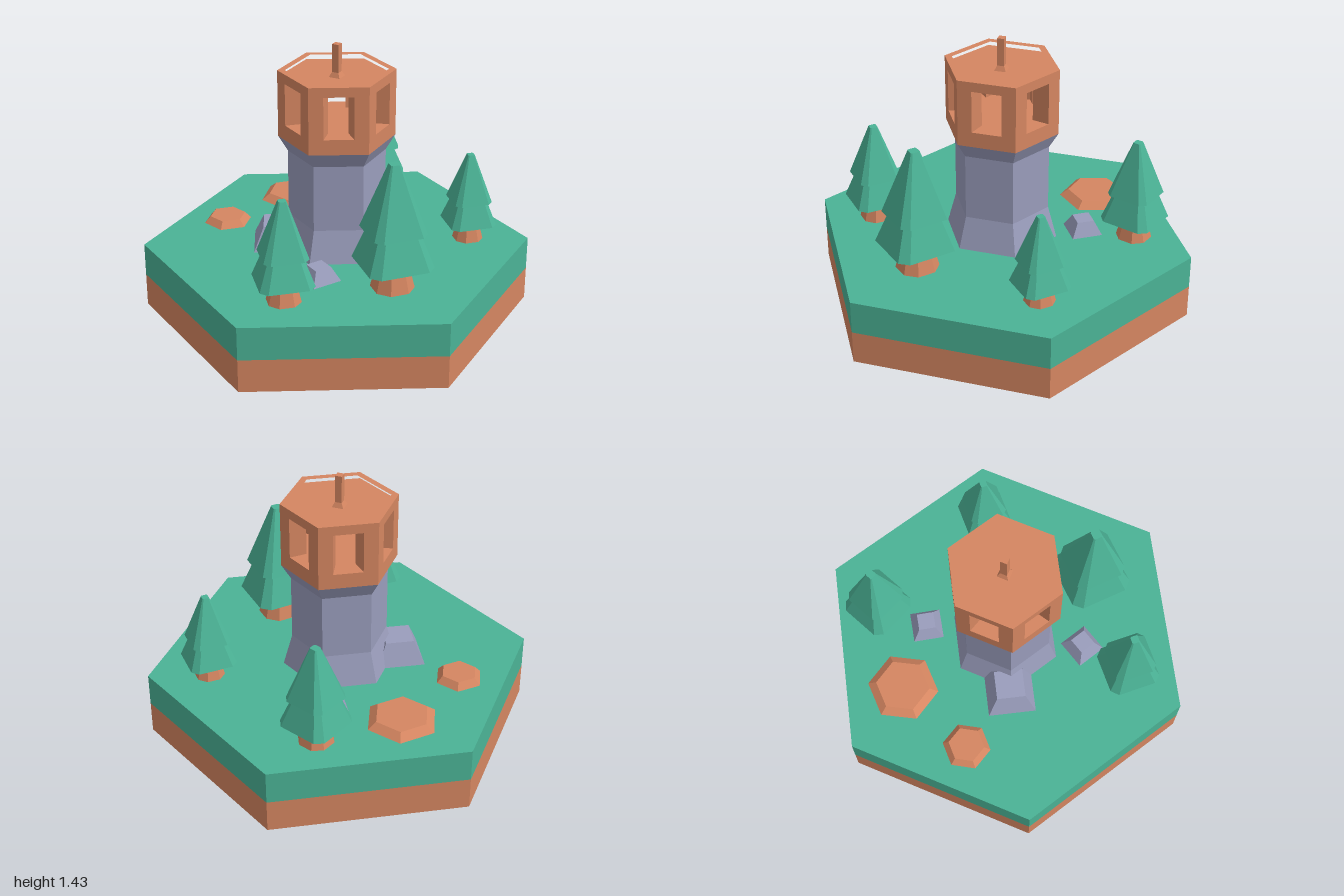
import * as THREE from 'three';

const mat = (name, color) => {
  const m = new THREE.MeshStandardMaterial({ color });
  m.name = name;
  return m;
};

export function createModel() {
  const model = new THREE.Group();
  model.name = 'watchtowerTile';
  const grass = mat('grassGreen', 0x4bb396);
  const clay = mat('clayBrown', 0xd58661);
  const stone = mat('stoneGrey', 0x9a9dbc);

  const flat = (g) => {
    const f = g.index ? g.toNonIndexed() : g;
    f.computeVertexNormals();
    return f;
  };
  const add = (name, geo, material, parent = model) => {
    const mesh = new THREE.Mesh(flat(geo), material);
    mesh.name = name;
    parent.add(mesh);
    return mesh;
  };
  // Faceted frustum standing between heights y0 and y1
  const frustum = (r0, r1, y0, y1, sides = 6) =>
    new THREE.CylinderGeometry(r1, r0, y1 - y0, sides).translate(0, (y0 + y1) / 2, 0);
  // Frustum with a square section whose corners are cut off by the angle w
  const cutSquare = (r0, r1, y0, y1, w) => {
    const g = frustum(r0, r1, y0, y1, 8);
    const p = g.attributes.position;
    for (let i = 0; i < p.count; i++) {
      const r = Math.hypot(p.getX(i), p.getZ(i));
      if (r < 1e-6) continue;
      const k = Math.round(Math.atan2(p.getX(i), p.getZ(i)) / (Math.PI / 4));
      const a = Math.floor(k / 2) * Math.PI / 2 + (k % 2 ? w : -w);
      p.setX(i, r * Math.sin(a));
      p.setZ(i, r * Math.cos(a));
    }
    return g;
  };
  const hexPoints = (r) => Array.from({ length: 6 }, (_, i) =>
    new THREE.Vector2(r * Math.sin(i * Math.PI / 3), r * Math.cos(i * Math.PI / 3)));
  const extrudeUp = (shape, y0, y1) =>
    new THREE.ExtrudeGeometry(shape, { depth: y1 - y0, bevelEnabled: false })
      .rotateX(-Math.PI / 2).translate(0, y0, 0);

  // Hexagonal ground tile
  const ground = 0.35;
  add('soilLayer', frustum(1, 1, 0, 0.175), clay);
  add('grassLayer', frustum(1, 1, 0.175, ground), grass);

  // Stone shaft with a flared foot and collar
  const R = 0.295;
  const tower = new THREE.Group();
  tower.name = 'tower';
  model.add(tower);
  add('towerFoot', frustum(R, 0.248, ground, 0.52), stone, tower);
  add('towerShaft', frustum(0.248, 0.248, 0.52, 0.87), stone, tower);
  add('towerCollar', frustum(0.248, R, 0.87, 0.95), stone, tower);

  // Lookout room: floor, six corner posts with radial sides, roof and rim
  add('lookoutFloor', frustum(R, R, 0.95, 1.03), clay, tower);
  const t = (R - 0.15) / 2;
  const side = new THREE.Vector2(t * Math.sin(Math.PI / 3), R - t / 2);
  const inner = 0.667;
  const postShape = new THREE.Shape([
    side, new THREE.Vector2(0, R), new THREE.Vector2(-side.x, side.y),
    new THREE.Vector2(-side.x * inner, side.y * inner),
    new THREE.Vector2(0, R * inner),
    new THREE.Vector2(side.x * inner, side.y * inner),
  ]);
  for (let i = 0; i < 6; i++) {
    add('lookoutPost', extrudeUp(postShape, 1.03, 1.25), clay, tower).rotation.y = i * Math.PI / 3;
  }
  add('lookoutRoof', frustum(R, R, 1.25, 1.265), clay, tower);
  const rim = new THREE.Shape(hexPoints(R));
  rim.holes.push(new THREE.Path(hexPoints(0.257)));
  add('roofRim', extrudeUp(rim, 1.265, 1.3), clay, tower);

  // Mast on the roof
  const square = (r0, r1, y0, y1) => frustum(r0, r1, y0, y1, 4).rotateY(Math.PI / 4);
  add('mastBase', square(0.042, 0.025, 1.265, 1.29), clay, tower);
  add('mast', square(0.025, 0.025, 1.29, 1.435), clay, tower);

  // Trees: x, z, height, turn
  for (const [x, z, h, turn] of [
    [0.065, 0.67, 0.53, -0.05],
    [0.465, 0.3, 0.655, 0.05],
    [0.58, -0.365, 0.472, -0.03],
    [-0.13, -0.675, 0.545, 0.45],
  ]) {
    const tree = new THREE.Group();
    tree.name = 'tree';
    add('trunk', cutSquare(0.168 * h, 0.115 * h, 0, 0.21 * h, 0.35), clay, tree);
    add('lowerFoliage', cutSquare(0.318 * h, 0.2 * h, 0.207 * h, 0.48 * h, 0.15), grass, tree);
    add('upperFoliage', cutSquare(0.26 * h, 0.045 * h, 0.47 * h, h, 0.15), grass, tree);
    tree.position.set(x, ground, z);
    tree.rotation.y = turn;
    model.add(tree);
  }

  // Square boulders and low hexagonal mounds: x, z, base and top radius, height, turn
  const heap = (name, sides, material, list) => {
    for (const [x, z, r0, r1, h, turn] of list) {
      const m = add(name, frustum(r0, r1, 0, h, sides), material);
      m.position.set(x, ground, z);
      m.rotation.y = turn;
    }
  };
  heap('boulder', 4, stone, [
    [-0.27, 0.14, 0.175, 0.105, 0.12, -0.27],
    [-0.105, -0.41, 0.112, 0.062, 0.072, -0.22],
    [0.11, 0.4, 0.113, 0.062, 0.072, 0.28],
  ]);
  heap('dirtMound', 6, clay, [
    [-0.47, -0.385, 0.187, 0.142, 0.035, 0.28],
    [-0.635, 0.05, 0.126, 0.094, 0.035, 0.25],
  ]);

  return model;
}
